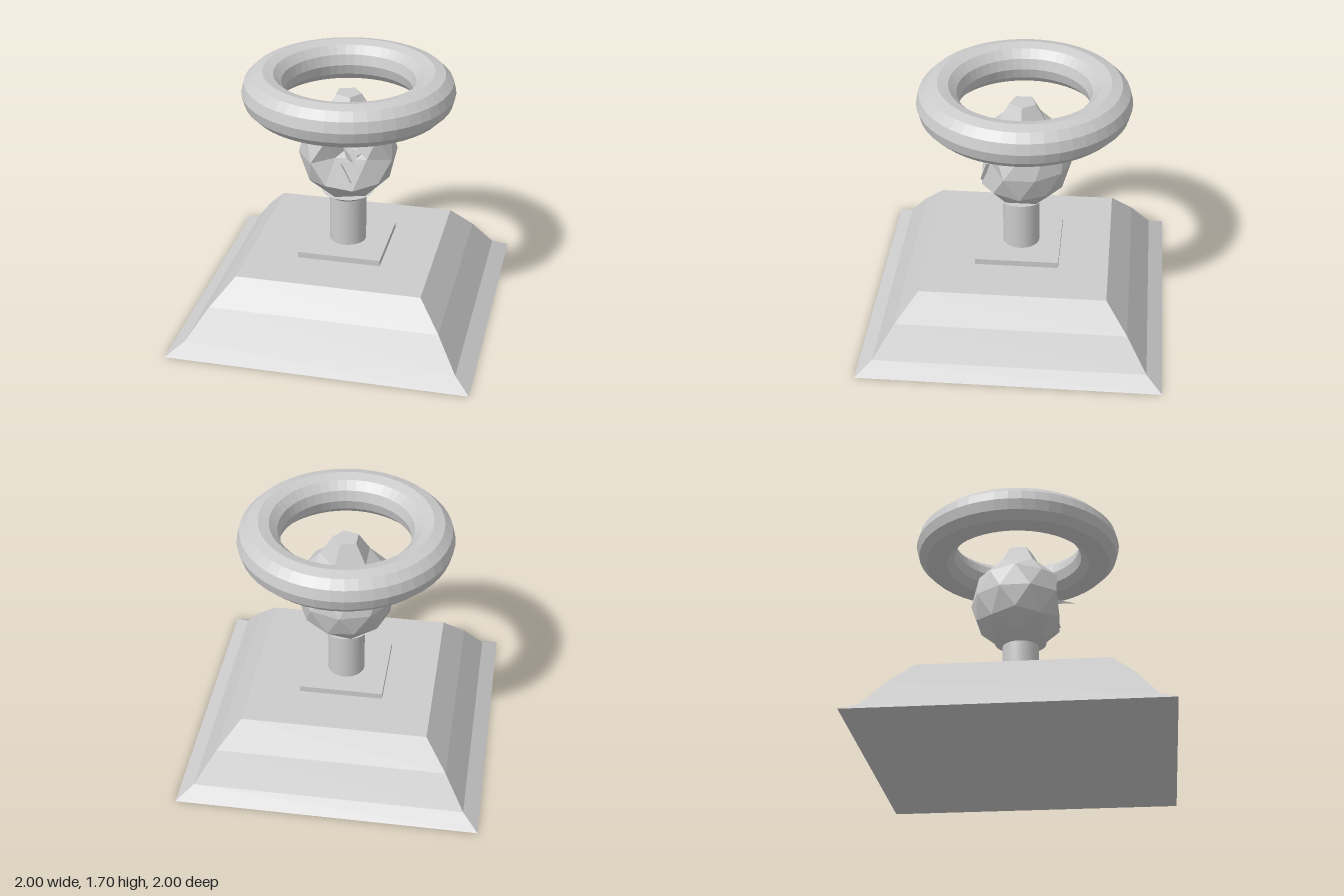
import * as THREE from 'three';
import { ConvexGeometry } from 'three/addons/geometries/ConvexGeometry.js';

const flat = new THREE.MeshStandardMaterial({ color: 0xcccccc, flatShading: true, side: THREE.DoubleSide });
const smooth = new THREE.MeshStandardMaterial({ color: 0xcccccc });

export function createModel() {
  const model = new THREE.Group();
  const add = (name, geometry, material, x = 0, y = 0, z = 0) => {
    const mesh = new THREE.Mesh(geometry, material);
    mesh.name = name;
    mesh.position.set(x, y, z);
    model.add(mesh);
    return mesh;
  };
  const V = (x, y, z) => new THREE.Vector3(x, y, z);

  // Square flared base: a four-sided lathe of half-widths and heights
  const profile = [[0, 0], [1, 0], [0.895, 0.07], [0.76, 0.27], [0.615, 0.44], [0, 0.44]]
    .map(([w, y]) => new THREE.Vector2(w * Math.SQRT2, y));
  add('base', new THREE.LatheGeometry(profile, 4, Math.PI / 4), flat);
  add('basePlate', new THREE.BoxGeometry(0.56, 0.04, 0.56), flat, 0, 0.46, 0);

  // Post and flared collar
  add('post', new THREE.CylinderGeometry(0.124, 0.124, 0.35, 32), smooth, 0, 0.645, -0.01);
  add('collar', new THREE.CylinderGeometry(0.175, 0.124, 0.035, 32), flat, 0, 0.828, -0.01);

  // Faceted ball: rings of a subdivided icosahedron, open at the top pole
  const R = 0.33, cy = 1.133, cz = -0.02;
  const at = (h, deg) => {
    const a = THREE.MathUtils.degToRad(deg), r = Math.sqrt(1 - h * h);
    return V(R * r * Math.cos(a), R * h, R * r * Math.sin(a));
  };
  const points = [V(0, -R, 0)];
  for (let k = 0; k < 5; k++) {
    const a = 72 * k;
    for (const [h, d] of [[0.8507, 0], [0.5257, 36], [0.4472, 0]]) {
      points.push(at(h, a + d), at(-h, a + d + 180));
    }
    points.push(at(0, a + 18), at(0, a + 54));
  }
  const ball = new ConvexGeometry(points);

  // Dent in the front: three vertices pushed inwards
  const dents = [
    [at(0.4472, 72), V(0.065, 1.25, 0.13)],
    [at(0, 90), V(-0.04, 1.165, 0.19)],
    [at(0, 54), V(0.165, 1.16, 0.17)],
  ];
  const pos = ball.attributes.position, p = new THREE.Vector3();
  for (let i = 0; i < pos.count; i++) {
    p.fromBufferAttribute(pos, i);
    for (const [from, to] of dents) {
      if (p.distanceTo(from) < 0.02) pos.setXYZ(i, to.x, to.y - cy, to.z - cz);
    }
  }
  add('ball', ball, flat, 0, cy, cz);

  // Tapered five-sided cap on the ball
  const bottom = cy + 0.8507 * R, capHeight = 0.13;
  add('cap', new THREE.CylinderGeometry(0.09, 0.5257 * R, capHeight, 5, 1, false, Math.PI / 2),
    flat, 0, bottom + capHeight / 2, cz);

  // Triangular frame set in the dent, leaning with the ball's surface
  const triangle = (Type, s) => {
    const c = [0.064, 1.093];
    return new Type([[-0.035, 1.16], [0.16, 1.16], [0.082, 0.975]].map(([x, y]) =>
      new THREE.Vector2(c[0] + (x - c[0]) * s, c[1] + (y - c[1]) * s)));
  };
  const shape = triangle(THREE.Shape, 0.9);
  shape.holes.push(triangle(THREE.Path, 0.65));
  const frame = new THREE.ExtrudeGeometry(shape, { depth: 0.025, bevelEnabled: false });
  const fp = frame.attributes.position;
  for (let i = 0; i < fp.count; i++) fp.setZ(i, fp.getZ(i) + 0.183 + (1.16 - fp.getY(i)) * 0.28);
  add('frame', frame, flat);

  // Thin three-sided spike with a wide foot
  const spikeProfile = [[0.085, 0], [0.035, 0.035], [0.014, 0.09], [0, 0.2]].map(([r, y]) => new THREE.Vector2(r, y));
  const spike = add('spike', new THREE.LatheGeometry(spikeProfile, 3), flat, 0.065, 1.185, 0.165);
  spike.quaternion.setFromUnitVectors(V(0, 1, 0), V(0.055, 0.005, 0.185).normalize());

  // Ring floating round the cap
  const ring = add('ring', new THREE.TorusGeometry(0.56, 0.14, 12, 48), flat, 0, 1.56, -0.03);
  ring.rotation.x = Math.PI / 2;

  return model;
}
